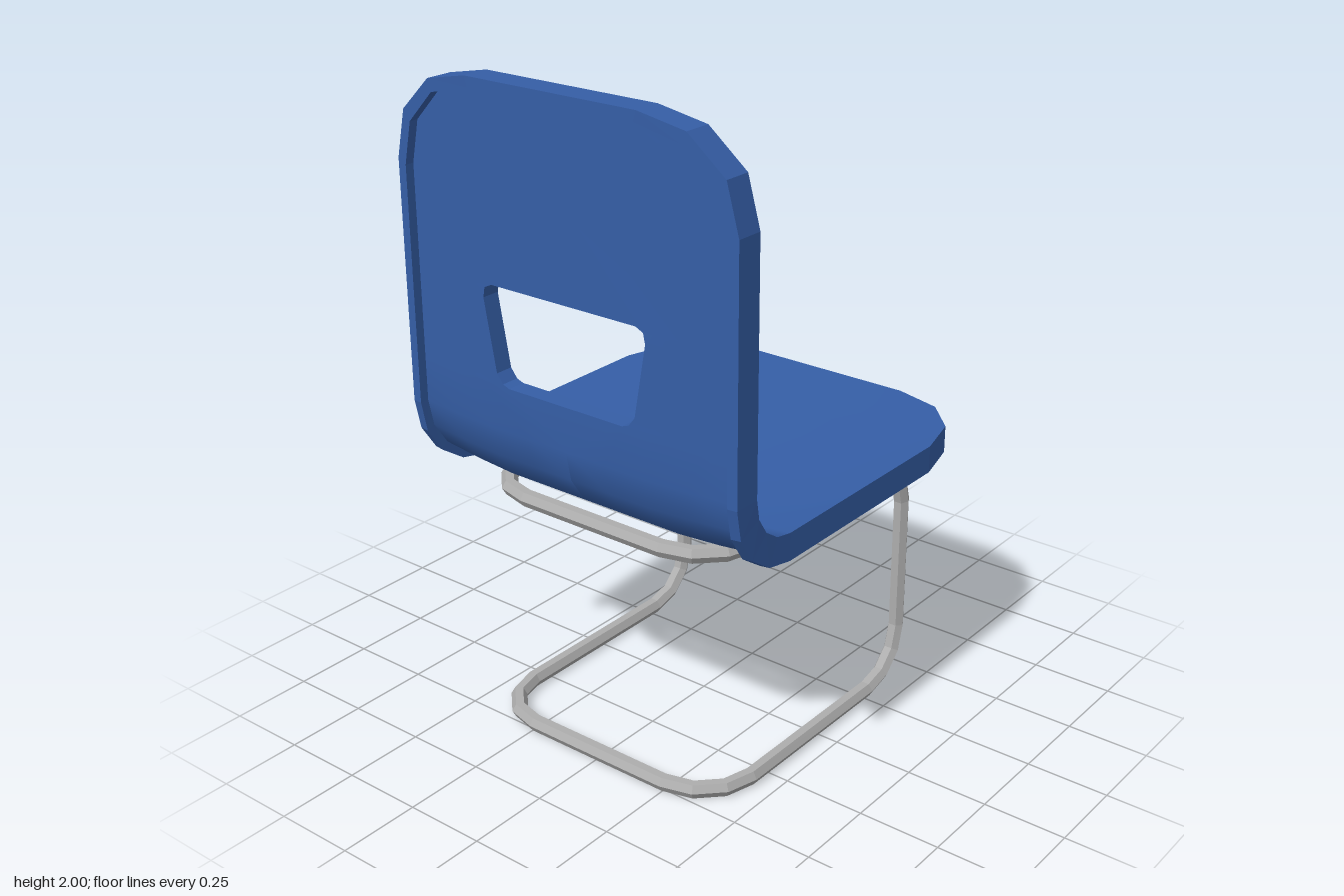
import * as THREE from 'three';

const THICK = 0.083; // full depth of the rim
const SKIN = 0.055;  // thickness of the panel inside the rim
const DISH = 0.026;  // hollow across the middle of the shell
const BEND = 0.155, BEND_Z = 0.36, BEND_Y = 1.02, FRONT_Z = -0.625;
const ARC = BEND * Math.PI / 2;
const atHeight = (y) => y - BEND_Y + BEND_Z + ARC; // distance along the profile for a height on the back

// Point of the seat profile at distance s, pushed out to the under/back side by depth plus the dish
function onShell(x, s, depth) {
  const ramp = Math.min(1, (s - FRONT_Z) / (BEND_Z - FRONT_Z));
  const off = depth + DISH * ramp * Math.max(0, Math.min(1, 1.33 * (1 - (x / 0.575) ** 2)));
  if (s <= BEND_Z) return new THREE.Vector3(x, BEND_Y - BEND - off, s);
  if (s < BEND_Z + ARC) {
    const a = (s - BEND_Z) / BEND, r = BEND + off;
    return new THREE.Vector3(x, BEND_Y - r * Math.cos(a), BEND_Z + r * Math.sin(a));
  }
  return new THREE.Vector3(x, s - BEND_Z - ARC + BEND_Y, BEND_Z + BEND + off);
}

// Rows along the shell: s = distance, w = half width, h = half width of the hole,
// ds and dw = how far the inner edge of the rim lies from the outline
function shellRows() {
  const row = (s, w, h = 0, ds = 0, dw = 0.03) => ({ s, w, h, ds, dw });
  const rows = [
    row(FRONT_Z, 0.28, 0, 0.03, 0.01), row(-0.585, 0.43, 0, 0.035, 0.012),
    row(-0.48, 0.53, 0, 0.03, 0.025), row(-0.33, 0.57, 0, 0.015), row(0, 0.57),
  ];
  for (let i = 0; i <= 4; i++) rows.push(row(BEND_Z + ARC * i / 4, 0.57 + i * 0.00125));
  for (const [y, h] of [[1.15, 0.2], [1.158, 0.222], [1.185, 0.243], [1.395, 0.281], [1.425, 0.275], [1.437, 0.25]])
    rows.push(row(atHeight(y), 0.575, h));
  rows.push(
    row(atHeight(1.73), 0.575, 0, -0.015), row(atHeight(1.87), 0.54, 0, -0.03, 0.025),
    row(atHeight(1.97), 0.43, 0, -0.035, 0.012), row(atHeight(2), 0.285, 0, -0.03, 0.01),
  );
  return rows;
}

function geometryFrom(points, index) {
  const g = new THREE.BufferGeometry().setFromPoints(points);
  g.setIndex(index);
  return g;
}

// Smooth panel across the rows, leaving the hole open
function sheet(rows, depth, flip) {
  const HALF = 5, cols = 2 * HALF;
  const points = [], index = [];
  for (const { s, w, h } of rows) {
    for (let j = 0; j < cols; j++) {
      const sign = j < HALF ? -1 : 1;
      const k = (j < HALF ? HALF - 1 - j : j - HALF) / (HALF - 1);
      points.push(onShell(sign * (h + (w - h) * k), s, depth));
    }
  }
  for (let i = 0; i < rows.length - 1; i++) {
    const openMiddle = (rows[i].h > 0) === (rows[i + 1].h > 0);
    for (let j = 0; j < cols - 1; j++) {
      if (j === HALF - 1 && openMiddle) continue;
      const a = i * cols + j, b = a + cols, c = a + 1, d = b + 1;
      if (flip) index.push(a, c, b, b, c, d);
      else index.push(a, b, c, b, d, c);
    }
  }
  const g = geometryFrom(points, index);
  g.computeVertexNormals();
  return g;
}

// Closed outline through both sides of the rows
function loop(rows, key, depth) {
  const side = (sign) => rows.map((r) => onShell(sign * r[key], r.s, depth));
  return [...side(1), ...side(-1).reverse()];
}

// Faceted skin joining successive closed loops
function bands(loops) {
  const n = loops[0].length, index = [];
  for (let k = 0; k < loops.length - 1; k++) {
    for (let i = 0; i < n; i++) {
      const a = k * n + i, b = k * n + (i + 1) % n;
      index.push(a, b, a + n, b, b + n, a + n);
    }
  }
  const g = geometryFrom(loops.flat(), index).toNonIndexed();
  g.computeVertexNormals();
  return g;
}

// Closed polyline whose corners are mitred
class ClosedPath extends THREE.Curve {
  constructor(points) {
    super();
    this.points = points;
  }
  getPoint(t, target = new THREE.Vector3()) {
    const n = this.points.length, f = t * n, i = Math.floor(f + 1e-6);
    return target.lerpVectors(this.points[i % n], this.points[(i + 1) % n], Math.max(0, f - i));
  }
  getPointAt(u, target) {
    return this.getPoint(u, target);
  }
  getTangentAt(u, target = new THREE.Vector3()) {
    const n = this.points.length, i = Math.round(u * n) % n, p = this.points;
    const before = p[i].clone().sub(p[(i + n - 1) % n]).normalize();
    const after = p[(i + 1) % n].clone().sub(p[i]).normalize();
    return target.copy(before).add(after).normalize();
  }
}

// One bent tube: rear bar on the floor, up both front bends, rear bar under the seat
function frameGeometry() {
  const X = 0.421, LOW = 0.024, HIGH = 0.771, BACK = 0.497, FRONT = -0.43;
  const R = 0.16, REAR_R = 0.175;
  const half = [];
  const steps = [0, 1, 2, 3].map((i) => i * Math.PI / 6);
  const add = (x, y, z) => half.push(new THREE.Vector3(x, y, z));
  for (const a of steps) add(X - REAR_R + REAR_R * Math.sin(a), LOW, BACK - REAR_R + REAR_R * Math.cos(a));
  for (const a of steps) add(X, LOW + R - R * Math.cos(a), FRONT + R - R * Math.sin(a));
  for (const a of steps) add(X, HIGH - R + R * Math.sin(a), FRONT + R - R * Math.cos(a));
  for (const a of steps) add(X - REAR_R + REAR_R * Math.cos(a), HIGH, BACK - REAR_R + REAR_R * Math.sin(a));
  const other = half.map((p) => new THREE.Vector3(-p.x, p.y, p.z)).reverse();
  const points = [new THREE.Vector3(0, LOW, BACK), ...half, new THREE.Vector3(0, HIGH, BACK), ...other];
  const g = new THREE.TubeGeometry(new ClosedPath(points), points.length, 0.025, 6, true).toNonIndexed();
  g.computeVertexNormals();
  return g;
}

export function createModel() {
  const blue = new THREE.MeshStandardMaterial({ color: 0x355ea6 });
  blue.name = 'bluePlastic';
  const grey = new THREE.MeshStandardMaterial({ color: 0xadadad });
  grey.name = 'greyMetal';

  const model = new THREE.Group();
  model.name = 'chair';
  const shell = new THREE.Group();
  shell.name = 'seatShell';
  model.add(shell);
  const add = (parent, name, geometry, material) => {
    const mesh = new THREE.Mesh(geometry, material);
    mesh.name = name;
    parent.add(mesh);
  };

  const rows = shellRows();
  const inner = rows.map((r) => ({ ...r, s: r.s + r.ds, w: r.w - r.dw }));
  const hole = rows.filter((r) => r.h > 0);

  // Dished sitting surface, underside panel set inside a turned-down rim, and hand hole
  add(shell, 'sittingSurface', sheet(rows, 0, false), blue);
  add(shell, 'undersidePanel', sheet(inner, SKIN, true), blue);
  add(shell, 'rim', bands([
    loop(rows, 'w', 0), loop(rows, 'w', THICK), loop(inner, 'w', THICK), loop(inner, 'w', SKIN),
  ]), blue);
  add(shell, 'handHoleEdge', bands([loop(hole, 'h', SKIN), loop(hole, 'h', 0)]), blue);

  // Cantilever leg frame
  add(model, 'legFrame', frameGeometry(), grey);
  return model;
}
